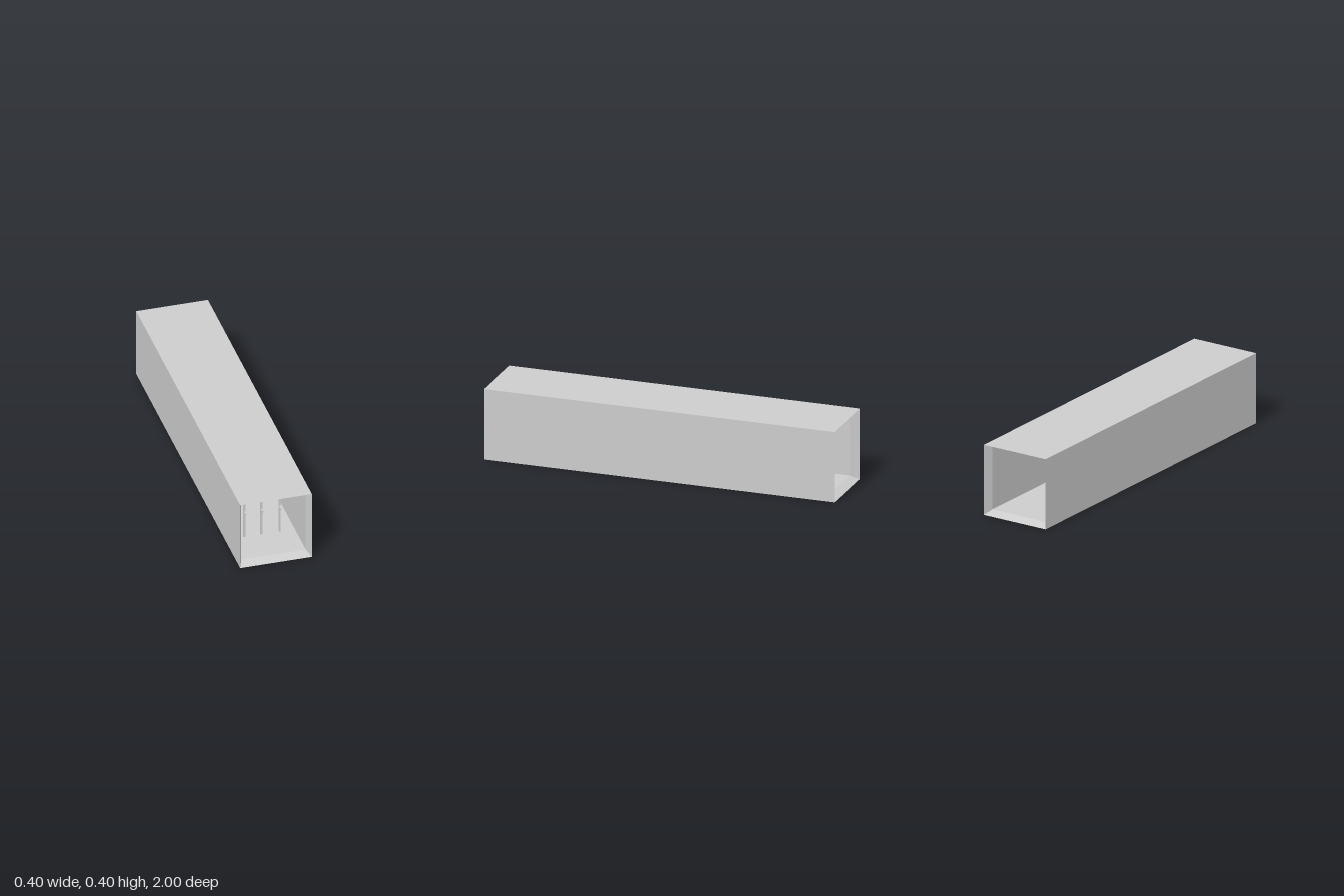
import * as THREE from 'three';

const grey = new THREE.MeshStandardMaterial({ color: 0xcccccc });
grey.name = 'light grey';
const blue = new THREE.MeshStandardMaterial({ color: 0x7984d8 });
blue.name = 'pane blue';

const HALF = 0.2;    // outer half width
const INNER = 0.18;  // inner half width
const LIP = 0.05;    // depth of the bevelled mouths

export function createModel() {
  const model = new THREE.Group();
  model.name = 'squareDuct';

  const add = (name, geometry, material, x, y, z) => {
    const mesh = new THREE.Mesh(geometry, material);
    mesh.name = name;
    mesh.position.set(x, y, z);
    model.add(mesh);
  };

  // Square duct: walls taper to a sharp rim at both ends
  const profile = [[HALF, -1], [HALF, 1], [INNER, 1 - LIP], [INNER, LIP - 1], [HALF, -1]]
    .map(([r, h]) => new THREE.Vector2(r * Math.SQRT2, h));
  const duct = new THREE.LatheGeometry(profile, 4, Math.PI / 4).toNonIndexed();
  duct.computeVertexNormals();
  duct.rotateX(Math.PI / 2);
  add('ductShell', duct, grey, 0, HALF, 0);

  // Blue pane across the middle of the duct
  add('pane', new THREE.BoxGeometry(2 * INNER, 2 * INNER, 0.008), blue, 0, HALF, 0);

  // Upright bars near the front mouth, each with a small peg
  for (const x of [-0.1, -0.006, 0.096]) {
    add('uprightBar', new THREE.BoxGeometry(0.01, 2 * INNER, 0.01), grey, x, HALF, 0.735);
    add('barPeg', new THREE.BoxGeometry(0.008, 0.008, 0.025), grey, x, 0.177, 0.75);
  }

  // Cross bars deeper inside
  for (const y of [0.11, 0.204, 0.303]) {
    add('crossBar', new THREE.BoxGeometry(2 * INNER, 0.009, 0.01), grey, 0, y, 0.4);
  }

  return model;
}
